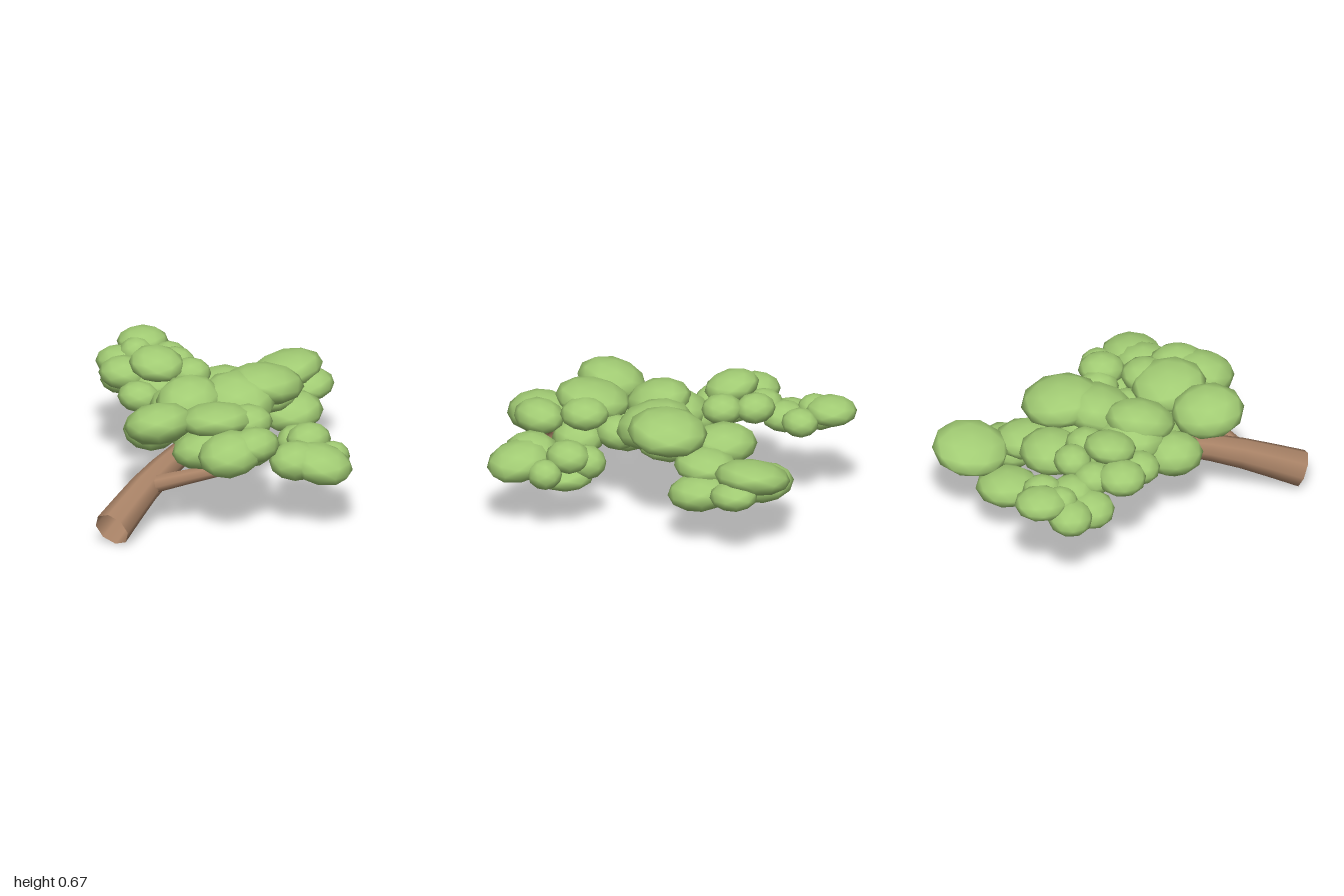
import * as THREE from 'three';

const leafMat = new THREE.MeshStandardMaterial({ color: 0xa2cc74 });
leafMat.name = 'leaf green';
const barkMat = new THREE.MeshStandardMaterial({ color: 0xa88266, side: THREE.DoubleSide });
barkMat.name = 'bark brown';

// Open tapered limb through the given points, radius r0 to r1
function limb(name, points, r0, r1, segments = 6) {
  const curve = new THREE.CatmullRomCurve3(points.map((p) => new THREE.Vector3(...p)));
  const geo = new THREE.TubeGeometry(curve, segments, 1, 8);
  const pos = geo.attributes.position;
  const n = geo.attributes.normal;
  for (let i = 0; i < pos.count; i++) {
    const t = Math.floor(i / 9) / segments;
    const c = curve.getPointAt(t);
    const r = THREE.MathUtils.lerp(r0, r1, t);
    pos.setXYZ(i, c.x + n.getX(i) * r, c.y + n.getY(i) * r, c.z + n.getZ(i) * r);
  }
  const mesh = new THREE.Mesh(geo, barkMat);
  mesh.name = name;
  return mesh;
}

// Cluster of flattened leaf puffs: x, y, z, rx, ry, rz, tilt about x, tilt about z
const puffGeo = new THREE.IcosahedronGeometry(1, 1);
function cluster(name, puffs) {
  const group = new THREE.Group();
  group.name = name;
  puffs.forEach(([x, y, z, rx, ry, rz, tiltX = 0, tiltZ = 0], i) => {
    const puff = new THREE.Mesh(puffGeo, leafMat);
    puff.name = 'leafPuff' + (i + 1);
    puff.position.set(x, y, z);
    puff.scale.set(rx, ry, rz);
    puff.rotation.set(tiltX, 0, tiltZ);
    group.add(puff);
  });
  return group;
}

export function createModel() {
  const model = new THREE.Group();
  model.name = 'leafyBranch';

  // Wood
  model.add(
    limb('mainBranch', [[-0.02, 0.095, 0.965], [-0.02, 0.235, 0.6], [-0.01, 0.315, 0.25],
      [0.0, 0.37, -0.2], [-0.03, 0.37, -0.7]], 0.1, 0.012, 10),
    limb('leftBranch', [[0.0, 0.235, 0.63], [0.2, 0.29, 0.49], [0.43, 0.35, 0.34]], 0.05, 0.03),
    limb('rightBranch', [[0.0, 0.36, 0.15], [-0.32, 0.41, 0.0], [-0.58, 0.415, -0.2],
      [-0.72, 0.44, -0.36]], 0.03, 0.015),
  );

  // Foliage along the main branch
  model.add(cluster('backFoliage', [
    [-0.06, 0.4, -0.795, 0.2, 0.09, 0.205, 0.1, 0.2],
    [0.08, 0.335, -0.82, 0.12, 0.075, 0.14, 0.1],
    [-0.24, 0.265, -0.62, 0.175, 0.09, 0.17, 0, -0.08],
    [0.12, 0.28, -0.57, 0.17, 0.095, 0.17, 0.12],
    [0.02, 0.38, -0.48, 0.16, 0.085, 0.18],
    [-0.17, 0.42, -0.38, 0.18, 0.105, 0.17],
  ]));
  model.add(cluster('middleFoliage', [
    [0.13, 0.53, -0.29, 0.21, 0.105, 0.215, -0.12],
    [0.08, 0.495, -0.1, 0.21, 0.125, 0.2, 0.2, -0.12],
    [-0.09, 0.52, 0.1, 0.17, 0.11, 0.19, 0.2, -0.15],
    [-0.15, 0.46, 0.05, 0.19, 0.11, 0.18],
    [0.2, 0.42, 0.07, 0.11, 0.09, 0.13],
    [-0.22, 0.385, 0.26, 0.15, 0.11, 0.16],
    [-0.26, 0.42, 0.0, 0.11, 0.09, 0.12],
    [0.03, 0.4, -0.16, 0.17, 0.09, 0.17],
    [0.06, 0.365, 0.18, 0.18, 0.105, 0.18],
  ]));
  model.add(cluster('frontFoliage', [
    [-0.045, 0.52, 0.465, 0.18, 0.11, 0.195, -0.08, 0.2],
    [0.2, 0.535, 0.29, 0.2, 0.09, 0.2, -0.1, 0.12],
    [0.2, 0.41, 0.41, 0.17, 0.1, 0.17, 0, 0.2],
    [0.41, 0.45, 0.48, 0.165, 0.11, 0.185, 0.12],
    [0.49, 0.48, 0.37, 0.125, 0.09, 0.15],
    [0.33, 0.52, 0.18, 0.13, 0.085, 0.13],
    [0.35, 0.38, 0.21, 0.14, 0.095, 0.14],
  ]));

  // Foliage at the ends of the side branches
  model.add(cluster('leftFoliage', [
    [0.77, 0.365, 0.16, 0.175, 0.095, 0.16, 0, -0.2],
    [0.65, 0.375, 0.21, 0.14, 0.1, 0.155],
    [0.57, 0.285, 0.03, 0.16, 0.075, 0.16],
    [0.58, 0.405, -0.02, 0.115, 0.085, 0.125],
    [0.73, 0.34, -0.02, 0.09, 0.08, 0.095],
    [0.48, 0.36, -0.05, 0.1, 0.09, 0.11],
  ]));
  model.add(cluster('rightFoliage', [
    [-0.77, 0.505, -0.51, 0.135, 0.075, 0.14],
    [-0.59, 0.47, -0.48, 0.095, 0.075, 0.105],
    [-0.81, 0.43, -0.36, 0.14, 0.085, 0.12],
    [-0.74, 0.49, -0.4, 0.09, 0.075, 0.09],
    [-0.71, 0.405, -0.24, 0.13, 0.085, 0.13, 0, 0.15],
    [-0.6, 0.45, -0.32, 0.12, 0.08, 0.12],
    [-0.55, 0.49, -0.2, 0.11, 0.08, 0.11],
    [-0.43, 0.53, -0.3, 0.11, 0.08, 0.1],
    [-0.42, 0.59, -0.1, 0.15, 0.08, 0.14, 0.12, -0.15],
    [-0.28, 0.53, -0.21, 0.11, 0.08, 0.11],
    [-0.6, 0.515, -0.06, 0.135, 0.085, 0.13],
    [-0.43, 0.455, 0.06, 0.115, 0.08, 0.105],
    [-0.42, 0.47, -0.1, 0.13, 0.08, 0.12],
  ]));
  return model;
}
